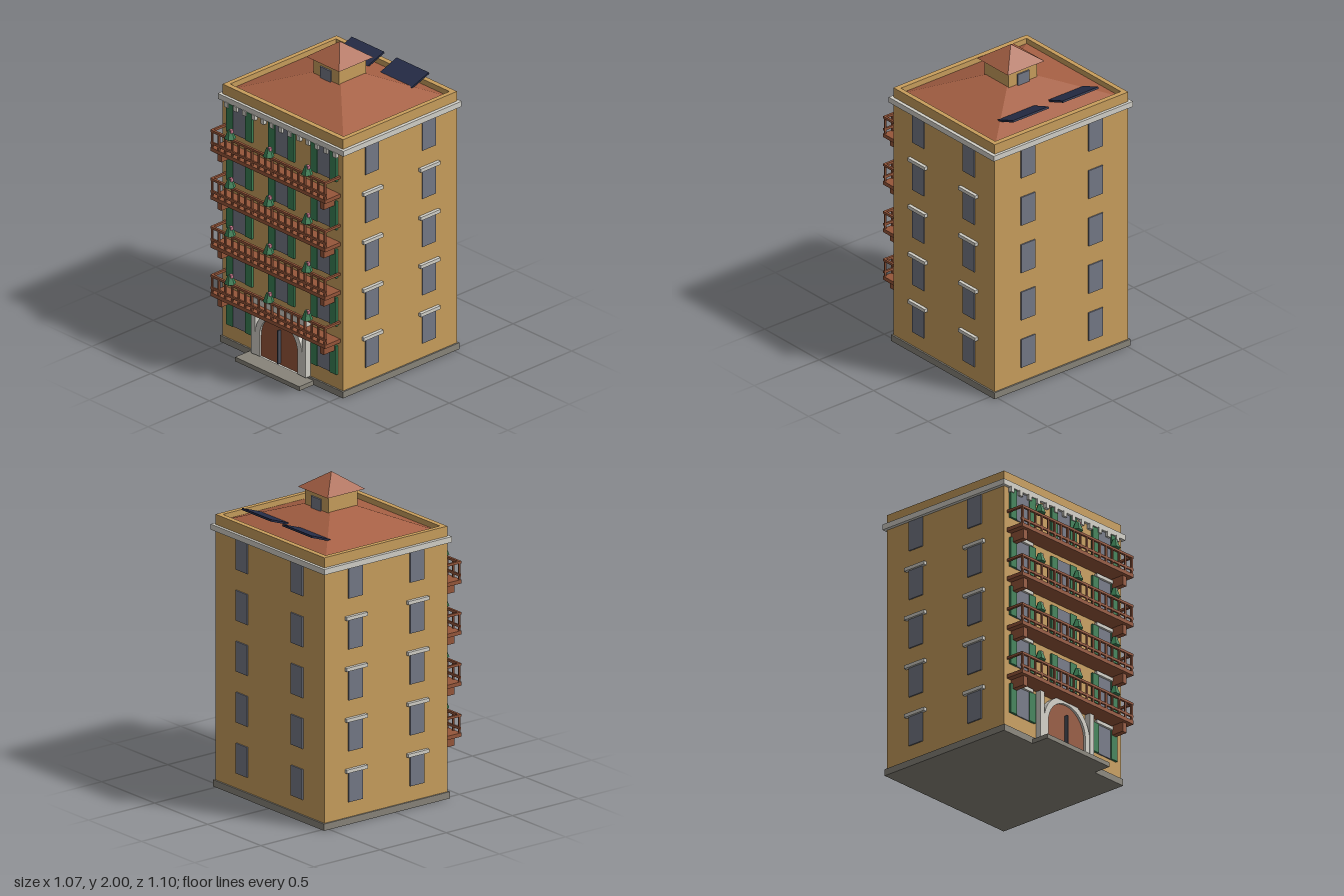
import * as THREE from 'three';

const mat = (name, color) => Object.assign(new THREE.MeshStandardMaterial({ color }), { name });
const M = {
  wall: mat('ochre wall', 0xc89e5c),
  trim: mat('pale trim', 0xd2d0c8),
  stone: mat('grey stone', 0x88847a),
  glass: mat('window glass', 0x747886),
  green: mat('shutter green', 0x3a8055),
  wood: mat('brown wood', 0x96563a),
  roof: mat('roof tile', 0xa66044),
  panel: mat('solar navy', 0x262d48),
  flower: mat('flower pink', 0xcc7a90),
  iron: mat('dark iron', 0x4a4e5a),
};

// Wall box limits: the body sits slightly behind the origin
const CZ = -0.065, HX = 0.513, FRONT = 0.4, BACK = -0.53;
const FLOOR = 0.317;

function add(parent, name, geo, material) {
  const mesh = new THREE.Mesh(geo, material);
  mesh.name = name;
  parent.add(mesh);
  return mesh;
}

// Box given by its limits on each axis
function box(parent, name, material, x0, x1, y0, y1, z0, z1) {
  const m = add(parent, name, new THREE.BoxGeometry(x1 - x0, y1 - y0, z1 - z0), material);
  m.position.set((x0 + x1) / 2, (y0 + y1) / 2, (z0 + z1) / 2);
  return m;
}

// Faceted cone or frustum; the 4-sided one has half-width r = 1 at the base
function frustum(top, bottom, height, sides, turn) {
  const g = new THREE.CylinderGeometry(top, bottom, height, sides).rotateY(turn).toNonIndexed();
  g.computeVertexNormals();
  return g;
}

function group(parent, name) {
  const g = new THREE.Group();
  g.name = name;
  parent.add(g);
  return g;
}

function archShape(r, y0, spring) {
  const s = new THREE.Shape();
  s.moveTo(-r, y0);
  s.lineTo(r, y0);
  s.lineTo(r, spring);
  s.absarc(0, spring, r, 0, Math.PI, false);
  s.lineTo(-r, y0);
  return s;
}

function buildEntrance(parent) {
  const g = group(parent, 'entrance');
  box(g, 'doorStep', M.stone, -0.273, 0.273, 0, 0.028, 0.38, 0.527);
  const frame = archShape(0.2, 0.04, 0.175);
  frame.holes.push(archShape(0.163, 0.04, 0.175));
  add(g, 'archFrame', new THREE.ExtrudeGeometry(frame, { depth: 0.04, bevelEnabled: false, curveSegments: 8 }), M.trim)
    .position.z = FRONT - 0.005;
  add(g, 'door', new THREE.ExtrudeGeometry(archShape(0.167, 0.04, 0.175), { depth: 0.025, bevelEnabled: false, curveSegments: 16 }), M.wood)
    .position.z = FRONT - 0.005;
  box(g, 'doorBar', M.iron, -0.004, 0.004, 0.05, 0.268, 0.415, 0.443);
  for (const s of [-1, 1])
    box(g, 'doorPillar', M.trim, s * 0.217 - 0.017, s * 0.217 + 0.017, 0.04, 0.375, FRONT - 0.01, 0.437);
  box(g, 'doorLintel', M.trim, -0.24, 0.24, 0.378, 0.415, FRONT - 0.01, 0.44);
}

function buildBalcony(parent, y) {
  const g = group(parent, 'balcony');
  g.position.y = y;
  box(g, 'balconySlab', M.wood, -0.49, 0.49, 0, 0.024, FRONT - 0.01, 0.523);
  box(g, 'topRail', M.wood, -0.49, 0.49, 0.125, 0.14, 0.508, 0.523);
  box(g, 'lowerRail', M.wood, -0.49, 0.49, 0.045, 0.06, 0.51, 0.521);
  for (const s of [-1, 1]) {
    box(g, 'sideRail', M.wood, s * 0.483 - 0.007, s * 0.483 + 0.007, 0.125, 0.14, FRONT - 0.01, 0.508);
    box(g, 'corbel', M.wood, s * 0.437 - 0.017, s * 0.437 + 0.017, -0.06, 0, FRONT - 0.01, 0.5);
  }
  for (let i = 0; i < 18; i++) {
    const x = -0.48 + i * 0.96 / 17;
    box(g, 'baluster', M.wood, x - 0.006, x + 0.006, 0.02, 0.128, 0.51, 0.521);
  }
  // Potted plants resting on the rail
  for (const x of [-0.328, 0, 0.328]) {
    add(g, 'plant', frustum(0.014, 0.036, 0.056, 6, Math.PI / 6), M.green).position.set(x, 0.166, 0.517);
    box(g, 'flower', M.flower, x + 0.001, x + 0.021, 0.178, 0.198, 0.507, 0.527);
  }
}

function buildWindows(parent) {
  const g = group(parent, 'windows');
  for (let f = 0; f < 5; f++) {
    const y0 = 0.137 + f * FLOOR, y1 = y0 + 0.188;
    // Front windows with shutters; the door takes the middle of the ground floor
    for (const x of [-0.36, 0, 0.36]) {
      if (f === 0 && x === 0) continue;
      box(g, 'frontWindow', M.glass, x - 0.055, x + 0.055, y0, y1, FRONT - 0.01, 0.408);
      for (const s of [-1, 1])
        box(g, 'shutter', M.green, x + s * 0.082 - 0.027, x + s * 0.082 + 0.027, y0, y1, FRONT - 0.01, 0.415);
      if (x !== 0 && f < 4)
        box(g, 'frontWindowHood', M.trim, x - 0.08, x + 0.08, y1 - 0.002, y1 + 0.02, FRONT - 0.01, 0.423);
    }
    // Side windows
    for (const s of [-1, 1]) for (const z of [0.168, -0.297]) {
      const span = (a, b) => [Math.min(s * a, s * b), Math.max(s * a, s * b)];
      box(g, 'sideWindow', M.glass, ...span(0.5, 0.521), y0, y1, z - 0.054, z + 0.054);
      if (f < 4)
        box(g, 'sideWindowHood', M.trim, ...span(0.5, 0.534), y1 - 0.002, y1 + 0.02, z - 0.079, z + 0.079);
    }
    // Rear windows
    for (const x of [-0.26, 0.26])
      box(g, 'rearWindow', M.glass, x - 0.054, x + 0.054, y0, y1, -0.538, BACK + 0.01);
  }
}

function buildRoof(parent) {
  const g = group(parent, 'roofTop');
  const R2 = Math.SQRT2, Q = Math.PI / 4;
  box(g, 'cornice', M.trim, -0.535, 0.535, 1.597, 1.632, -0.548, 0.418);
  for (let i = 0; i < 13; i++) {
    const x = -0.462 + i * 0.077;
    box(g, 'dentil', M.trim, x - 0.014, x + 0.014, 1.567, 1.6, FRONT - 0.01, 0.423);
  }
  // Parapet walls around the roof
  for (const s of [-1, 1])
    box(g, 'parapetSide', M.wall, s * 0.498 - 0.015, s * 0.498 + 0.015, 1.63, 1.695, BACK, FRONT);
  box(g, 'parapetFront', M.wall, -0.483, 0.483, 1.63, 1.695, FRONT - 0.033, FRONT);
  box(g, 'parapetBack', M.wall, -0.483, 0.483, 1.63, 1.695, BACK, BACK + 0.033);
  // Low hipped roof
  const hip = add(g, 'hippedRoof', frustum(0.2 * R2, R2, 0.14, 4, Q), M.roof);
  hip.scale.set(0.484, 1, 0.433);
  hip.position.set(0, 1.73, CZ);
  // Cupola
  box(g, 'cupola', M.wall, -0.11, 0.11, 1.75, 1.9, CZ - 0.11, CZ + 0.11);
  for (const s of [-1, 1])
    box(g, 'cupolaWindow', M.glass, -0.045, 0.045, 1.775, 1.86, CZ + s * 0.114 - 0.006, CZ + s * 0.114 + 0.006);
  add(g, 'cupolaRoof', frustum(0, 0.141 * R2, 0.103, 4, Q), M.roof).position.set(0, 1.9485, CZ);
  // Tilted solar panels at the back
  for (const s of [-1, 1]) {
    const p = add(g, 'solarPanel', new THREE.BoxGeometry(0.274, 0.012, 0.152), M.panel);
    p.position.set(s * 0.191, 1.74, -0.408);
    p.rotation.x = 0.35;
  }
}

export function createModel() {
  const model = new THREE.Group();
  model.name = 'apartmentBuilding';
  box(model, 'plinth', M.stone, -0.523, 0.523, 0, 0.042, -0.54, 0.41);
  box(model, 'walls', M.wall, -HX, HX, 0.04, 1.63, BACK, FRONT);
  buildEntrance(model);
  buildWindows(model);
  for (let i = 0; i < 4; i++) buildBalcony(model, 0.352 + i * 0.318);
  buildRoof(model);
  return model;
}
